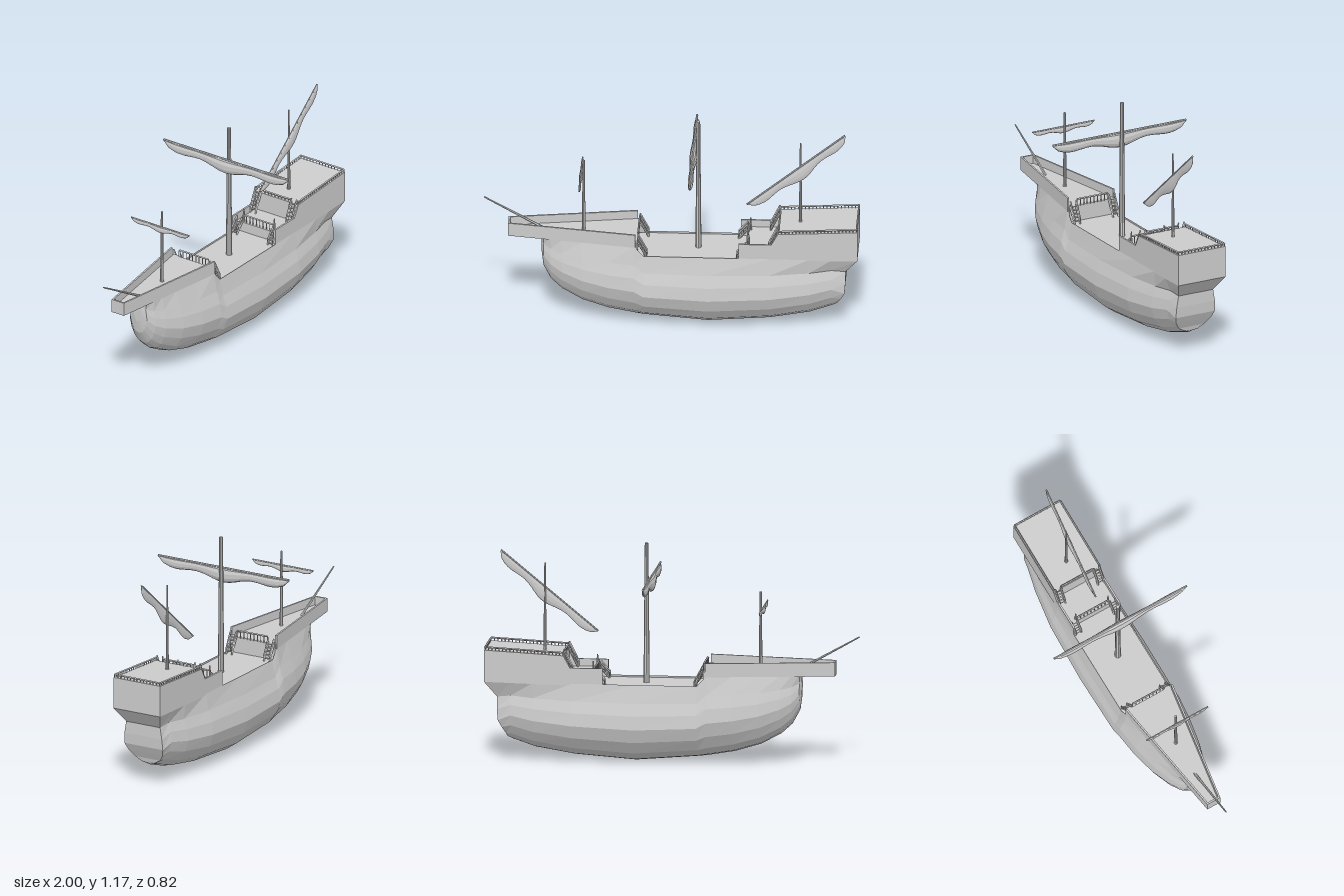
import * as THREE from 'three';

const V = (x, y, z) => new THREE.Vector3(x, y, z);
const mat = new THREE.MeshStandardMaterial({ color: 0xcccccc, flatShading: true, side: THREE.DoubleSide });

function add(parent, name, geometry) {
  const mesh = new THREE.Mesh(geometry, mat);
  mesh.name = name;
  parent.add(mesh);
  return mesh;
}

function box(parent, name, x0, x1, y0, y1, z0, z1) {
  const g = new THREE.BoxGeometry(x1 - x0, y1 - y0, z1 - z0);
  return add(parent, name, g.translate((x0 + x1) / 2, (y0 + y1) / 2, (z0 + z1) / 2));
}

// Tapered round bar from a to b
function bar(parent, name, a, b, ra, rb = ra, sides = 8) {
  const d = b.clone().sub(a);
  const mesh = add(parent, name, new THREE.CylinderGeometry(rb, ra, d.length(), sides));
  mesh.position.copy(a).addScaledVector(d, 0.5);
  mesh.quaternion.setFromUnitVectors(V(0, 1, 0), d.normalize());
  return mesh;
}

const shape = pts => new THREE.Shape(pts.map(p => new THREE.Vector2(...p)));

// Plan outline (x, z) raised from y by h
function slab(parent, name, pts, y, h) {
  const g = new THREE.ExtrudeGeometry(shape(pts), { depth: h, bevelEnabled: false });
  return add(parent, name, g.rotateX(-Math.PI / 2).translate(0, y, 0));
}

// Side outline (x, y) extruded from z0 to z1
function sidePanel(parent, name, pts, z0, z1) {
  const g = new THREE.ExtrudeGeometry(shape(pts), { depth: z1 - z0, bevelEnabled: false });
  return add(parent, name, g.translate(0, 0, z0));
}

// Handrail with n baluster gaps
function rail(parent, name, a, b, h, n) {
  const group = new THREE.Group();
  group.name = name;
  const up = V(0, h, 0);
  bar(group, 'handrail', a.clone().add(up), b.clone().add(up), 0.005, 0.005, 4);
  for (let i = 0; i <= n; i++) {
    const p = a.clone().lerp(b, i / n);
    bar(group, 'baluster', p, p.clone().add(up), 0.003, 0.003, 4);
  }
  parent.add(group);
}

// Ladder in the x-y plane with side stringers, treads and handrails
function ladder(parent, name, bottom, top, width) {
  const group = new THREE.Group();
  group.name = name;
  for (const s of [-1, 1]) {
    const off = V(0, 0, s * width / 2);
    const a = bottom.clone().add(off), b = top.clone().add(off);
    bar(group, 'stringer', a, b, 0.005, 0.005, 4);
    rail(group, 'ladderRail', a, b, 0.03, 2);
  }
  for (let i = 1; i <= 5; i++) {
    const p = bottom.clone().lerp(top, i / 5);
    box(group, 'tread', p.x - 0.006, p.x + 0.006, p.y - 0.004, p.y, p.z - width / 2, p.z + width / 2);
  }
  parent.add(group);
}

// Grid of rings joined into one surface
function loft(rings, closed) {
  const n = rings[0].length, idx = [];
  for (let s = 0; s < rings.length - 1; s++) {
    for (let k = 0; k < (closed ? n : n - 1); k++) {
      const a = s * n + k, b = s * n + (k + 1) % n;
      idx.push(a, b, a + n, b, b + n, a + n);
    }
  }
  const g = new THREE.BufferGeometry().setFromPoints(rings.flat());
  g.setIndex(idx);
  return g;
}

function makeHull() {
  // Height fraction and width fraction of the rounded section
  const v = [0, 0.035, 0.13, 0.28, 0.45, 0.62, 0.77, 1];
  const f = [0, 0.35, 0.65, 0.875, 1, 0.95, 0.84];
  // x, keel height, half beam, half width at top, top height
  const stations = [
    [-0.69, 0.36, 0.025, 0.025, 0.485], [-0.68, 0.29, 0.055, 0.055, 0.485],
    [-0.64, 0.215, 0.085, 0.072, 0.485], [-0.58, 0.16, 0.113, 0.083, 0.485],
    [-0.47, 0.1, 0.148, 0.1, 0.485], [-0.33, 0.058, 0.176, 0.12, 0.485],
    [-0.19, 0.034, 0.192, 0.142, 0.485], [-0.14, 0.028, 0.196, 0.145, 0.43],
    [0.2, 0, 0.2, 0.145, 0.43], [0.53, 0.025, 0.19, 0.145, 0.43],
    [0.74, 0.06, 0.162, 0.145, 0.43], [0.86, 0.1, 0.136, 0.145, 0.43],
  ];
  const halves = stations.map(([x, y, w, t, top]) =>
    v.map((q, i) => V(x, y + q * (top - y), i < 7 ? f[i] * w : t)));
  // Transom, flaring out to carry the stern castle
  const tx = [0.88, 0.885, 0.89, 0.91, 0.93, 0.935, 0.935, 1];
  const ty = [0.113, 0.12, 0.142, 0.18, 0.22, 0.28, 0.345, 0.43];
  const tz = [0, 0.04, 0.078, 0.106, 0.12, 0.117, 0.106, 0.145];
  halves.push(tx.map((x, i) => V(x, ty[i], tz[i])));
  const mirror = p => V(p.x, p.y, -p.z);
  const rings = halves.map(h => [...h.slice().reverse(), ...h.slice(1).map(mirror)]);
  const cap = h => loft([h, h.map(mirror)], false);
  return [loft(rings, false), cap(halves[0]), cap(halves[halves.length - 1])];
}

// Furled sail hung beneath its yard: three lobes, runs along local x, hangs toward -y
function furledSail(parent, length, depth, thick, yardRadius) {
  const group = new THREE.Group();
  group.name = 'yardAndSail';
  bar(group, 'yard', V(-length / 2, 0, 0), V(length / 2, 0, 0), yardRadius, yardRadius, 6);
  const rings = [], N = 24, M = 10;
  for (let i = 0; i <= N; i++) {
    const t = i / N * 2 - 1;
    const env = Math.pow(Math.max(0, 1 - t * t), 0.45);
    const lobe = 0.8 + 0.2 * Math.cos(t * Math.PI * 2.4);
    const d = depth * (0.08 + 0.92 * env * lobe), w = thick * (0.06 + 0.94 * env * lobe);
    rings.push(Array.from({ length: M }, (_, k) => {
      const a = -k / M * Math.PI * 2;
      return V(t * length / 2, -d / 2 + Math.cos(a) * d / 2, Math.sin(a) * w / 2);
    }));
  }
  add(group, 'furledSail', loft(rings, true));
  parent.add(group);
  return group;
}

export function createModel() {
  const ship = new THREE.Group();
  ship.name = 'sailingShip';

  // Hull and main deck
  const hullParts = makeHull();
  ['hull', 'stem', 'transom'].forEach((name, i) => add(ship, name, hullParts[i]));
  box(ship, 'mainDeck', -0.19, 0.42, 0.405, 0.42, -0.144, 0.144);

  // Forecastle: deck with a bulwark open toward the stern
  slab(ship, 'foreDeck', [[-0.865, -0.035], [-0.175, -0.138], [-0.175, 0.138], [-0.865, 0.035]], 0.48, 0.028);
  slab(ship, 'foreBulwark', [[-0.87, -0.04], [-0.185, -0.145], [-0.185, -0.135], [-0.86, -0.032],
    [-0.86, 0.032], [-0.185, 0.135], [-0.185, 0.145], [-0.87, 0.04]], 0.48, 0.075);
  box(ship, 'foreBulkhead', -0.185, -0.175, 0.41, 0.508, -0.14, 0.14);
  rail(ship, 'foreRail', V(-0.172, 0.505, -0.095), V(-0.172, 0.505, 0.095), 0.04, 9);

  // Half deck and stern castle
  box(ship, 'halfDeck', 0.405, 0.58, 0.41, 0.475, -0.136, 0.136);
  sidePanel(ship, 'sternCastle', [[0.575, 0.42], [1, 0.43], [1, 0.602], [0.575, 0.58]], -0.145, 0.145);
  for (const s of [-1, 1]) {
    sidePanel(ship, 'quarterBulwark', [[0.365, 0.42], [0.576, 0.42], [0.576, 0.58], [0.54, 0.515], [0.365, 0.515]],
      s * 0.14 - 0.005, s * 0.14 + 0.005);
    rail(ship, 'sternSideRail', V(0.577, 0.578, s * 0.141), V(0.996, 0.6, s * 0.141), 0.018, 22);
    ladder(ship, 'foreLadder', V(-0.125, 0.42, s * 0.118), V(-0.172, 0.508, s * 0.118), 0.034);
    ladder(ship, 'halfDeckLadder', V(0.355, 0.42, s * 0.118), V(0.405, 0.475, s * 0.118), 0.034);
    ladder(ship, 'sternLadder', V(0.525, 0.475, s * 0.118), V(0.575, 0.578, s * 0.118), 0.034);
    bar(ship, 'newelPost', V(0.42, 0.475, s * 0.1), V(0.42, 0.548, s * 0.1), 0.006, 0.004, 6);
  }
  rail(ship, 'halfDeckRail', V(0.41, 0.475, -0.098), V(0.41, 0.475, 0.098), 0.042, 9);
  rail(ship, 'sternFrontRail', V(0.579, 0.578, -0.098), V(0.579, 0.578, 0.098), 0.018, 9);
  rail(ship, 'sternBackRail', V(0.996, 0.6, -0.141), V(0.996, 0.6, 0.141), 0.018, 14);

  // Masts and bowsprit
  bar(ship, 'mainMast', V(0.145, 0.41, 0), V(0.145, 1.175, 0), 0.017, 0.01, 10);
  bar(ship, 'foreMast', V(-0.467, 0.49, 0), V(-0.467, 0.925, 0), 0.01, 0.006);
  bar(ship, 'mizzenMast', V(0.69, 0.57, 0), V(0.69, 1.057, 0), 0.009, 0.004);
  bar(ship, 'bowsprit', V(-0.66, 0.5, 0), V(-0.998, 0.69, 0), 0.008, 0.004, 6);

  // Square sails across the ship and the slanted sail aft
  const mainSail = furledSail(ship, 0.82, 0.082, 0.042, 0.006);
  mainSail.position.set(0.118, 0.995, 0);
  mainSail.rotation.y = Math.PI / 2;
  const foreSail = furledSail(ship, 0.38, 0.038, 0.02, 0.004);
  foreSail.position.set(-0.482, 0.842, 0);
  foreSail.rotation.y = Math.PI / 2;
  const aftSail = furledSail(ship, 0.675, 0.07, 0.022, 0.005);
  aftSail.position.set(0.666, 0.904, 0.015);
  aftSail.rotation.z = Math.atan2(0.43, 0.525);

  return ship;
}
